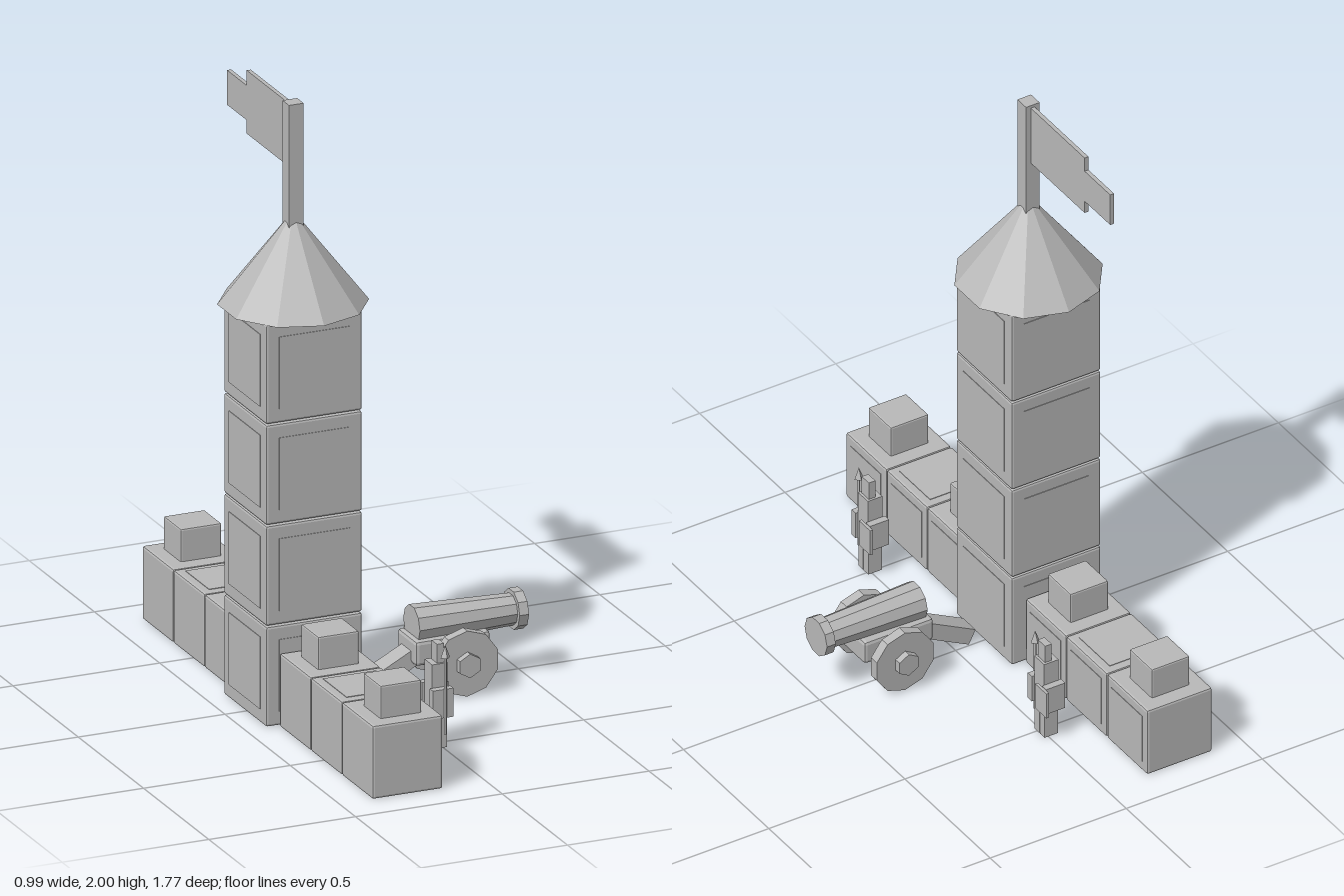
import * as THREE from 'three';
import { RoundedBoxGeometry } from 'three/addons/geometries/RoundedBoxGeometry.js';

const stone = new THREE.MeshStandardMaterial({ color: 0xb8b8b8, flatShading: true });
stone.name = 'stone grey';

function add(parent, name, geometry, x, y, z) {
  const mesh = new THREE.Mesh(geometry, stone);
  mesh.name = name;
  mesh.position.set(x, y, z);
  parent.add(mesh);
  return mesh;
}

const box = (w, h, d) => new THREE.BoxGeometry(w, h, d);
const bevelBox = (w, h, d, r = 0.008) => new RoundedBoxGeometry(w, h, d, 1, r);

function group(parent, name, x = 0, y = 0, z = 0) {
  const g = new THREE.Group();
  g.name = name;
  g.position.set(x, y, z);
  parent.add(g);
  return g;
}

const PLATE = 0.004; // thickness of the face panels

// Square keep of four stacked blocks, conical roof, pole and flag
function buildTower(parent) {
  const tower = group(parent, 'tower', -0.268);
  const w = 0.328, step = 0.335;
  for (let i = 0; i < 4; i++) {
    const y = step * (i + 0.5);
    add(tower, 'towerBlock', bevelBox(w, step - 0.003, w), 0, y, 0);
    add(tower, 'towerPanelsX', box(w + PLATE, 0.24, 0.24), 0, y, 0);
    add(tower, 'towerPanelsZ', box(0.24, 0.24, w + PLATE), 0, y, 0);
  }
  add(tower, 'roof', new THREE.CylinderGeometry(0.022, 0.238, 0.275, 10), 0, 1.4735, 0);
  add(tower, 'flagPole', box(0.05, 0.41, 0.05), 0, 1.795, 0);

  // Flag with a narrower tail
  add(tower, 'flag', box(0.014, 0.21, 0.32), 0, 1.885, -0.18);
  add(tower, 'flagTail', box(0.014, 0.115, 0.15), 0, 1.882, -0.415);
}

// Three wall blocks on each side of the tower, merlons on the outer and inner ones
function buildWall(parent) {
  const wall = group(parent, 'wall', -0.27);
  const h = 0.244, w = 0.24;
  for (const side of [-1, 1]) {
    for (let i = 0; i < 3; i++) {
      const z = side * (0.288 + 0.2385 * i);
      add(wall, 'wallBlock', bevelBox(w, h, 0.237), 0, h / 2, z);
      add(wall, 'wallPanel', box(PLATE, 0.175, 0.18), w / 2, h / 2, z);
      if (i === 1) add(wall, 'wallTopPanel', box(0.18, PLATE, 0.18), 0, h, z);
      else add(wall, 'merlon', bevelBox(0.14, 0.13, 0.133, 0.006), 0, 0.287, z);
    }
  }
}

// Blocky guard facing +x with a spear in the right hand and a shield on the left arm
function buildSoldier(parent, z) {
  const s = group(parent, 'soldier', -0.011, 0, z);
  for (const side of [-1, 1]) {
    add(s, 'leg', box(0.05, 0.12, 0.027), 0, 0.06, side * 0.0155);
    add(s, 'arm', box(0.07, 0.095, 0.024), 0, 0.155, side * 0.042);
  }
  add(s, 'torso', box(0.053, 0.175, 0.058), 0, 0.1925, 0);
  add(s, 'head', box(0.024, 0.065, 0.042), 0.006, 0.31, 0);
  add(s, 'shield', box(0.01, 0.093, 0.066), 0.041, 0.155, -0.04);
  add(s, 'spearShaft', new THREE.CylinderGeometry(0.005, 0.005, 0.26, 4), 0.006, 0.185, 0.057);
  add(s, 'spearTip', new THREE.ConeGeometry(0.016, 0.042, 4), 0.006, 0.33, 0.057);
}

// Wheeled field cannon pointing along +x
function buildCannon(parent) {
  const c = group(parent, 'cannon', 0, 0, 0.036);
  const along = (name, rFront, rBack, len, x) => {
    const m = add(c, name, new THREE.CylinderGeometry(rFront, rBack, len, 10), x, 0.217, 0);
    m.rotation.z = -Math.PI / 2;
  };
  along('barrel', 0.051, 0.064, 0.35, 0.295);
  along('muzzleRing', 0.066, 0.066, 0.032, 0.475);

  add(c, 'carriage', bevelBox(0.256, 0.083, 0.146, 0.012), 0.23, 0.143, 0);
  const trail = add(c, 'trail', box(0.25, 0.054, 0.073), 0.05, 0.086, 0);
  trail.rotation.z = 0.48;

  // Cylinders lying across the carriage
  const across = (name, r, len, sides, z) => {
    const m = add(c, name, new THREE.CylinderGeometry(r, r, len, sides), 0.249, 0.113, z);
    m.rotation.x = Math.PI / 2;
  };
  across('axle', 0.012, 0.24, 6, 0);
  for (const side of [-1, 1]) {
    across('wheel', 0.109, 0.034, 10, side * 0.12);
    across('hub', 0.04, 0.056, 6, side * 0.132);
  }
}

export function createModel() {
  const model = new THREE.Group();
  model.name = 'castle';
  buildTower(model);
  buildWall(model);
  buildSoldier(model, 0.518);
  buildSoldier(model, -0.515);
  buildCannon(model);
  return model;
}
